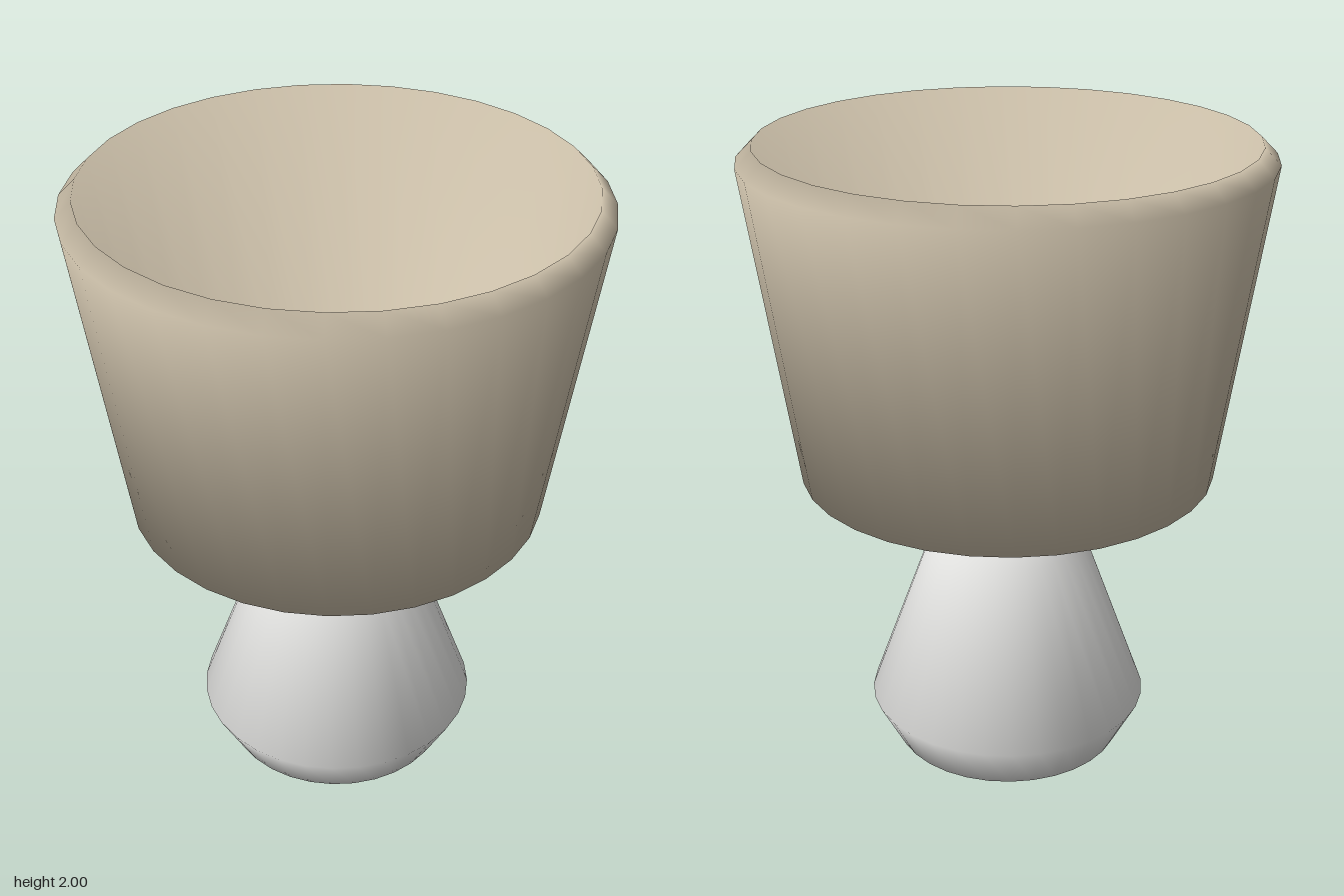
import * as THREE from 'three';

const SEGMENTS = 32;

const material = (name, color, side = THREE.FrontSide) => {
  const m = new THREE.MeshStandardMaterial({ color, side });
  m.name = name;
  return m;
};

// Turned part from [radius, height] pairs; every profile corner is shaded
// smoothly with the bisector of its two neighbouring edges
function turned(profile) {
  const points = profile.map(([r, y]) => new THREE.Vector2(r, y));
  const edgeNormals = points.slice(1).map((p, i) => {
    const d = p.clone().sub(points[i]).normalize();
    return new THREE.Vector2(d.y, -d.x);
  });
  const last = edgeNormals.length - 1;
  const corners = points.map((_, i) =>
    edgeNormals[Math.max(i - 1, 0)].clone().add(edgeNormals[Math.min(i, last)]).normalize());

  const geometry = new THREE.LatheGeometry(points, SEGMENTS);
  const normal = geometry.attributes.normal;
  for (let s = 0; s <= SEGMENTS; s++) {
    const angle = (s / SEGMENTS) * Math.PI * 2;
    corners.forEach((n, i) =>
      normal.setXYZ(s * corners.length + i, n.x * Math.sin(angle), n.y, n.x * Math.cos(angle)));
  }
  return geometry;
}

export function createModel() {
  const linen = material('linen', 0xcabea8, THREE.DoubleSide);
  const ceramic = material('ceramic', 0xe2e2e0, THREE.DoubleSide);
  const brass = material('brass', 0xb88f4c);

  const lamp = new THREE.Group();
  lamp.name = 'tableLamp';

  const add = (name, geometry, mat, y = 0) => {
    const mesh = new THREE.Mesh(geometry, mat);
    mesh.name = name;
    mesh.position.y = y;
    lamp.add(mesh);
  };

  // Solid base with bevelled foot and shoulder
  add('base', turned([[0, 0], [0.37, 0], [0.45, 0.15], [0.25, 0.7], [0.15, 0.8], [0, 0.8]]), ceramic);

  // Stem running from the base up to the bulb
  add('stem', new THREE.CylinderGeometry(0.036, 0.036, 0.4, 12), brass, 0.98);

  // Bulb inside the shade
  add('bulb', new THREE.SphereGeometry(0.11, 12, 10), linen, 1.23);

  // Thick-walled flared shade: outer floor, wall, bevelled rim, inner wall, inner floor
  add('shade', turned([
    [0, 0.95], [0.65, 0.95], [0.8, 1.95], [0.75, 2], [0.6, 1], [0, 1],
  ]), linen);

  return lamp;
}
